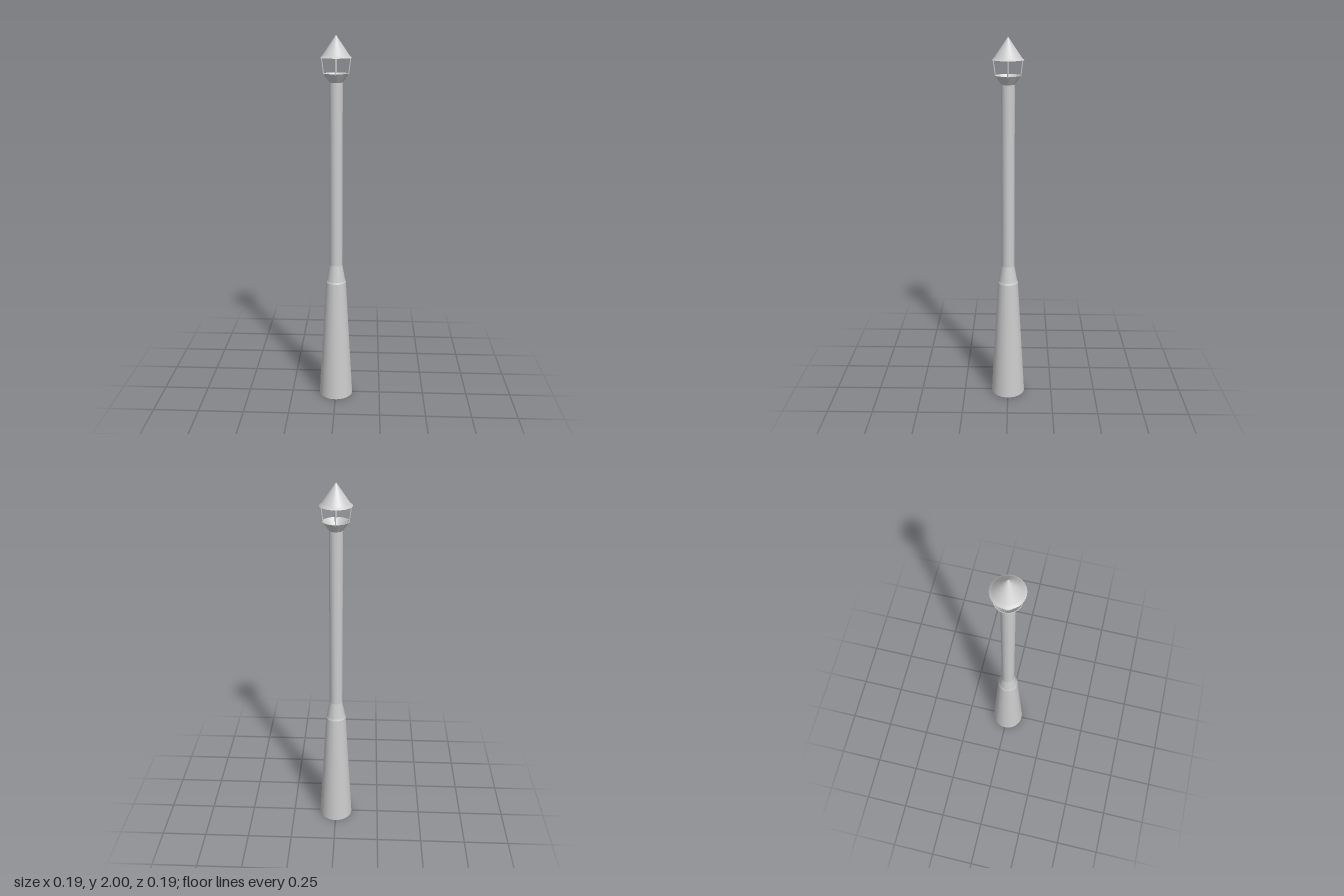
import * as THREE from 'three';
import { toCreasedNormals } from 'three/addons/utils/BufferGeometryUtils.js';

const SIDES = 40;

export function createModel() {
  const group = new THREE.Group();
  const material = new THREE.MeshStandardMaterial({ color: 0xcccccc, side: THREE.DoubleSide });

  const add = (name, geometry) => {
    const mesh = new THREE.Mesh(geometry, material);
    mesh.name = name;
    group.add(mesh);
    return mesh;
  };
  // Round part from [radius, height] points, listed bottom to top on the outside
  const turned = (name, points) => add(name, toCreasedNormals(
    new THREE.LatheGeometry(points.map(([r, y]) => new THREE.Vector2(r, y)), SIDES), 0.25));

  // Tapered foot with a small shoulder below the collar
  turned('base', [[0, 0], [0.094, 0], [0.055, 0.68], [0.051, 0.69]]);
  turned('collar', [[0.051, 0.69], [0.035, 0.78]]);
  turned('pole', [[0.035, 0.78], [0.035, 1.77], [0, 1.77]]);

  // Hollow cup that carries the lantern
  turned('lanternCup', [[0.035, 1.765], [0.067, 1.81], [0.064, 1.81], [0.034, 1.77], [0, 1.77]]);

  // Four slanted posts between cup and roof
  const up = new THREE.Vector3(0, 1, 0);
  for (let i = 0; i < 4; i++) {
    const a = i * Math.PI / 2;
    const at = (r, y) => new THREE.Vector3(r * Math.sin(a), y, r * Math.cos(a));
    const bottom = at(0.064, 1.805), top = at(0.075, 1.889);
    const dir = top.clone().sub(bottom);
    const post = add('lanternPost', new THREE.CylinderGeometry(0.003, 0.003, dir.length(), 8));
    post.position.copy(bottom).add(top).multiplyScalar(0.5);
    post.quaternion.setFromUnitVectors(up, dir.normalize());
  }

  // Pointed roof with a flatter brim and closed underside
  turned('roof', [[0, 1.887], [0.082, 1.887], [0.07, 1.898], [0, 2]]);

  return group;
}
